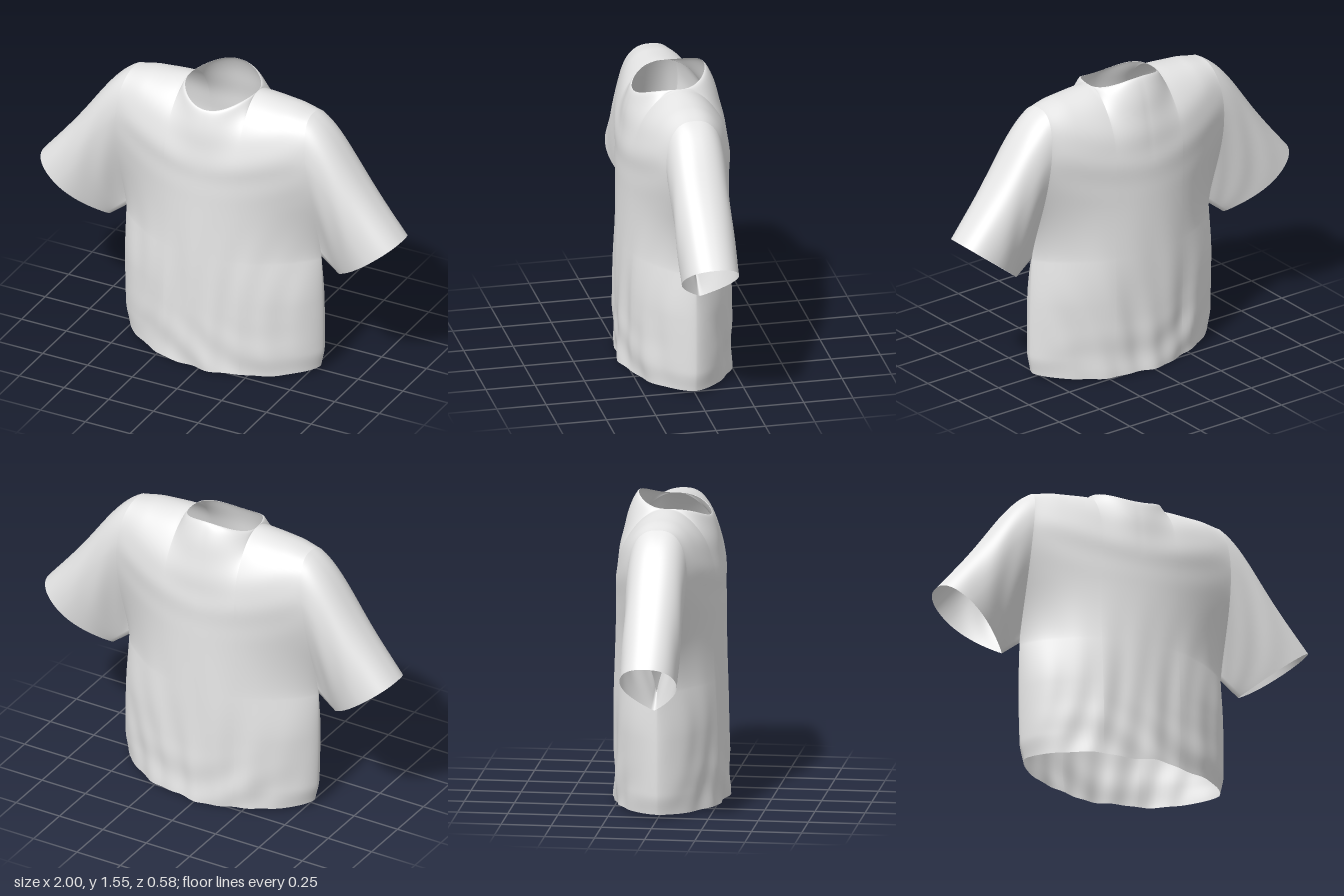
import * as THREE from 'three';
import { mergeVertices } from 'three/addons/utils/BufferGeometryUtils.js';

const ARMPIT = 0.65, NECK = 0.38, LOW = 44, UP = 44, SLEEVE = 28;
const { lerp, clamp, smoothstep } = THREE.MathUtils;
const dome = (p, n) => Math.pow(Math.max(0, 1 - Math.pow(clamp(p, 0, 1), n)), 1 / n);
const rise = (p) => Math.sin(clamp(p, 0, 1) * Math.PI / 2);

// Columns across a panel, denser at the neck edge and the side seams
const half = [];
for (let i = 1; i <= 20; i++) half.push(NECK * rise(i / 20));
for (let i = 1; i <= 24; i++) half.push(NECK + (1 - NECK) * rise(i / 24));
const columns = [...half.map((u) => -u).reverse(), 0, ...half];

// Cloth folds: soft over the chest, deeper and bunched near the hem
function folds(x, y, side) {
  const k = side > 0 ? 0 : 1.9;
  const low = 1 - smoothstep(y, 0.1, 1.0);
  const hem = 1 - smoothstep(y, 0.0, 0.35);
  const bend = x * (1 + 0.2 * Math.sin(4 * y + k));
  return low * (0.005 * Math.sin(21 * bend + 2.5 * y + k) + 0.004 * Math.sin(39 * bend - 5 * y + k))
    + hem * 0.006 * Math.sin(24 * y + 9 * x + 2 * Math.sin(7 * x + k))
    + 0.002 * smoothstep(y, 0.9, 1.2) * Math.sin(34 * y - 18 * x * x + k);
}

// Point on the front (side 1) or back (side -1) panel; row runs from hem to shoulder
function panel(u, row, side) {
  const a = Math.abs(u), upper = row > LOW;
  const f = upper ? rise((row - LOW) / UP) : 0;
  const hole = Math.max(0, 1 - (a / NECK) ** 2);

  // Neckline and shoulder seam
  const top = 1.5 + (side > 0 ? -0.06 : 0.05) * Math.pow(hole, 1.25)
    - 0.022 * smoothstep(a, NECK - 0.1, 0.85) - 0.022 * smoothstep(a, 0.75, 1.05);
  const zTop = (side > 0 ? 0.2 : 0.16) * Math.pow(hole, lerp(1.6, 0.5, f ** 6));

  const y = upper ? lerp(ARMPIT, top, f)
    : lerp(0.02 * u * u + 0.004 * (1 + Math.sin(8 * u)) * (1 - u * u), ARMPIT, row / LOW);
  const width = upper ? 0.545 - 0.045 * f ** 4
    : 0.545 - 0.018 * (1 - smoothstep(y, 0, 0.12)) + 0.006 * Math.sin(Math.PI * y / ARMPIT);
  const shift = upper ? 0 : 0.01 * (1 - row / LOW);

  // Depth: V-shaped armhole at the edge, fuller in the middle, closing over the shoulder
  const edge = 0.148 * Math.pow(rise(f / 0.75), 1.3);
  const middle = lerp(0.278, 0.267, smoothstep(y, 0.5, 1.2));
  const body = edge + (middle - edge) * Math.pow(1 - u * u, lerp(0.65, 1.1, smoothstep(y, 0.4, 0.95)));
  const start = lerp(1.1, 1.2, a);
  const cap = dome((y - start) / (top - start), 1.5 + a);
  const z = zTop + (body - zTop) * cap + folds(u * width, y, side) * (1 - u ** 4) * cap;
  return [u * width + shift, y, side * z];
}

// Point on the left sleeve, s running from the armhole to the cuff
function sleeve(s, row, side) {
  const f = rise(row / UP);
  const [ex, ey, ez] = panel(1, LOW + row, side);
  const cuffZ = 0.142 * Math.pow(rise(f / 0.65), 0.9) * dome((f - 0.6) / 0.4, 2.4);
  const puff = 0.22 * s * (1 - s) ** 4 * f ** 3;
  const crease = 0.004 * Math.sin(Math.PI * s) * Math.sin(11 * f + 9 * s + side) * Math.sin(Math.PI * f);
  return [lerp(ex, lerp(0.64, 1, f), s) + puff, lerp(ey, lerp(0.575, 0.86, f), s) + puff,
    lerp(ez, side * cuffZ, s) + side * crease];
}

export function createModel() {
  const positions = [], indices = [], parts = [];

  // Adds a grid of points; flip reverses the corners so faces point outward
  function grid(fn, cols, rows, flip) {
    const base = positions.length / 3;
    for (let j = 0; j <= rows; j++)
      for (let i = 0; i <= cols; i++) positions.push(...fn(i, j));
    for (let j = 0; j < rows; j++)
      for (let i = 0; i < cols; i++) {
        const a = base + j * (cols + 1) + i, b = a + 1, d = a + cols + 1, c = d + 1;
        if (flip) indices.push(a, c, b, a, d, c);
        else indices.push(a, b, c, a, c, d);
      }
  }
  function part(name, build) {
    const start = indices.length;
    build();
    parts.push({ name, start, end: indices.length });
  }

  // Body: front and back panels, open at the hem, neck and armholes
  for (const [name, side] of [['frontPanel', 1], ['backPanel', -1]])
    part(name, () => grid((i, j) => panel(columns[i], j, side), columns.length - 1, LOW + UP, side < 0));

  // Sleeves: front and back halves, mirrored to both sides
  for (const [name, m] of [['leftSleeve', 1], ['rightSleeve', -1]])
    part(name, () => {
      for (const side of [1, -1])
        grid((i, j) => {
          const [x, y, z] = sleeve(i / SLEEVE, j, side);
          return [m * x, y, z];
        }, SLEEVE, UP, side * m < 0);
    });

  // Weld the seams so shading runs smoothly from part to part
  let cloth = new THREE.BufferGeometry();
  cloth.setAttribute('position', new THREE.Float32BufferAttribute(positions, 3));
  cloth.setIndex(indices);
  cloth = mergeVertices(cloth, 1e-4);
  cloth.computeVertexNormals();
  const welded = Array.from(cloth.index.array);

  const fabric = new THREE.MeshStandardMaterial({ color: 0xe6e6e6, side: THREE.DoubleSide });
  fabric.name = 'lightGreyFabric';
  const shirt = new THREE.Group();
  shirt.name = 'shirt';
  for (const { name, start, end } of parts) {
    const g = new THREE.BufferGeometry();
    g.setAttribute('position', cloth.attributes.position);
    g.setAttribute('normal', cloth.attributes.normal);
    g.setIndex(welded.slice(start, end));
    const mesh = new THREE.Mesh(g, fabric);
    mesh.name = name;
    shirt.add(mesh);
  }
  return shirt;
}
